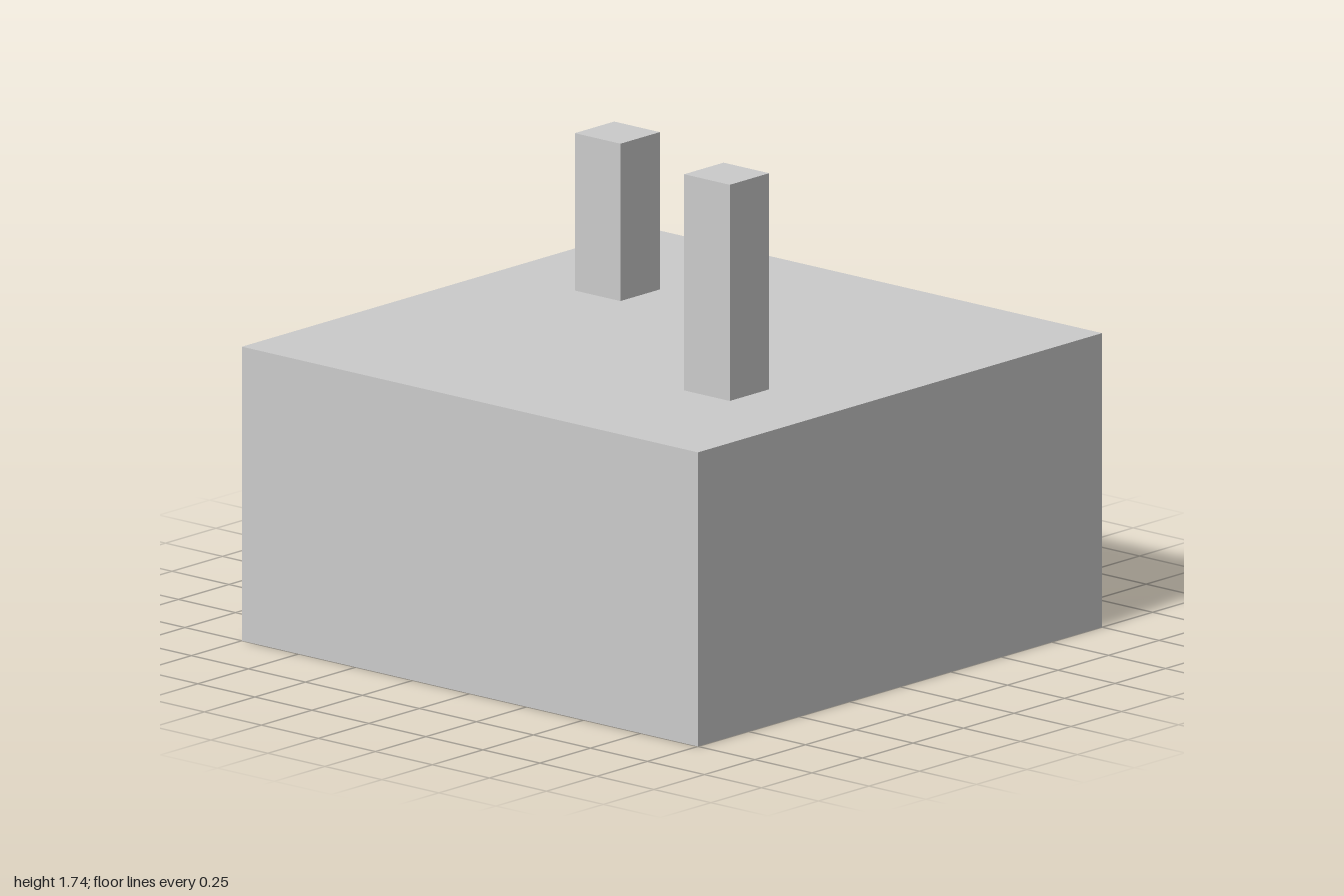
import * as THREE from 'three';

export function createModel() {
  const model = new THREE.Group();
  const material = new THREE.MeshStandardMaterial({ color: 0xcccccc, flatShading: true });

  // Adds a box whose underside sits at height y
  function addBox(name, [width, height, depth], [x, y, z]) {
    const mesh = new THREE.Mesh(new THREE.BoxGeometry(width, height, depth), material);
    mesh.name = name;
    mesh.position.set(x, y + height / 2, z);
    model.add(mesh);
  }

  // Wide square block
  addBox('base', [2, 1, 2], [0, 0, 0]);

  // Two posts standing diagonally opposite on the block
  addBox('tallPost', [0.2, 0.735, 0.195], [0.55, 1, 0.35]);
  addBox('shortPost', [0.2, 0.535, 0.195], [-0.55, 1, -0.35]);

  return model;
}
